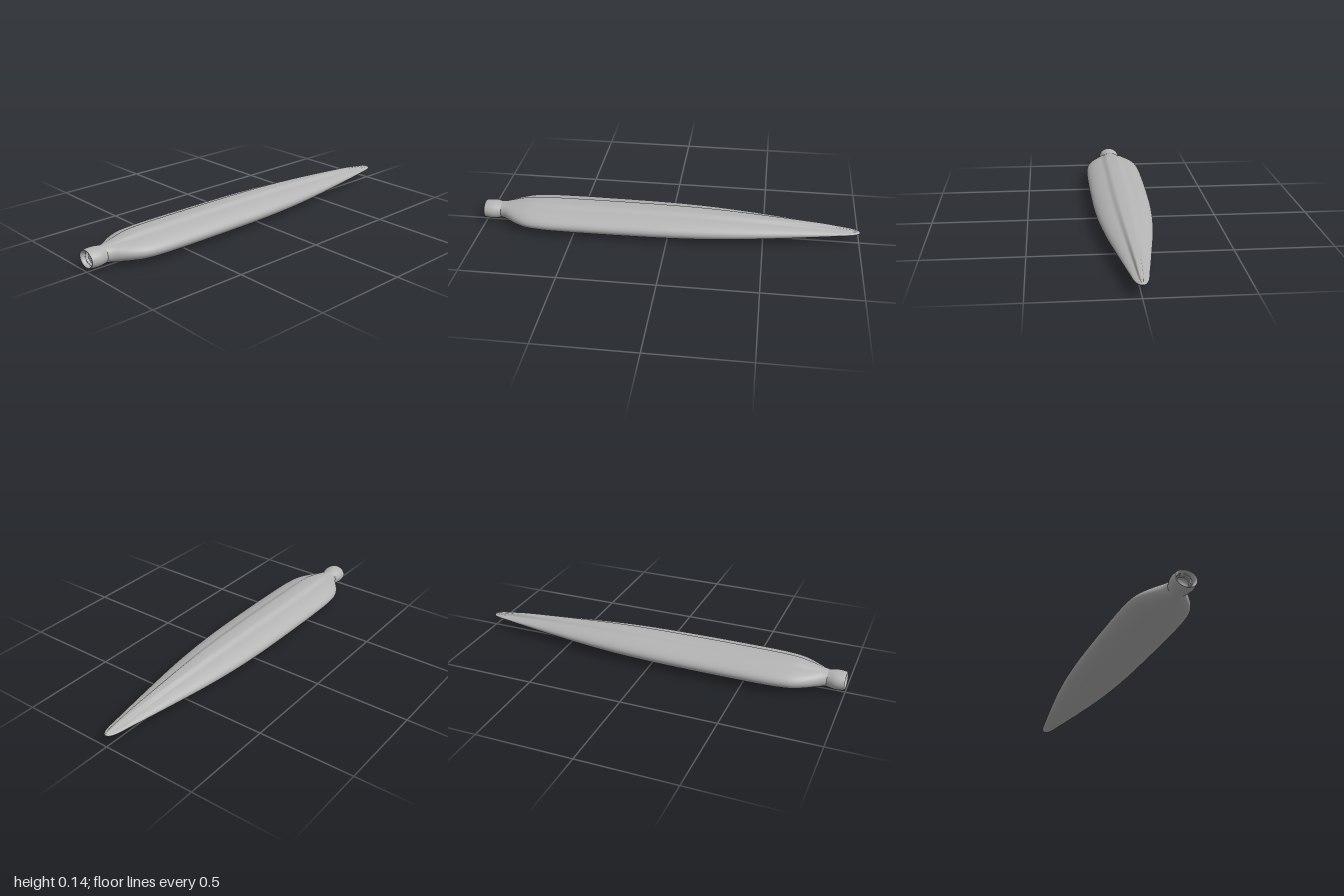
import * as THREE from 'three';

const CY = 0.066; // height of the long axis

// [z, half width, half height, height of the ridge along the top], tip to neck
const BODY = [
  [-1, 0, 0, 0], [-0.994, 0.014, 0.006, 0.002], [-0.975, 0.026, 0.009, 0.006], [-0.94, 0.036, 0.012, 0.009],
  [-0.88, 0.045, 0.016, 0.012], [-0.8, 0.058, 0.023, 0.014], [-0.6, 0.089, 0.038, 0.0125],
  [-0.4, 0.118, 0.05, 0.012], [-0.2, 0.139, 0.059, 0.0115], [0, 0.151, 0.063, 0.011],
  [0.2, 0.156, 0.064, 0.011], [0.4, 0.158, 0.064, 0.011], [0.6, 0.157, 0.063, 0.011],
  [0.7, 0.151, 0.061, 0.011], [0.76, 0.139, 0.058, 0.0105], [0.81, 0.115, 0.053, 0.008],
  [0.85, 0.087, 0.049, 0.005], [0.885, 0.06, 0.045, 0.002], [0.91, 0.047, 0.043, 0],
];

// rounded collar that turns in at the front to a stepped socket with a dished floor
const COLLAR = [
  [0.91, 0.047, 0.043, 0], [0.925, 0.052, 0.0455, 0], [0.945, 0.058, 0.0475, 0], [0.965, 0.0595, 0.0478, 0],
  [0.985, 0.057, 0.0465, 0], [0.998, 0.0545, 0.0445, 0], [1, 0.051, 0.042, 0], [0.997, 0.046, 0.0395, 0],
  [0.988, 0.042, 0.0375, 0], [0.975, 0.039, 0.0355, 0], [0.965, 0.038, 0.0345, 0], [0.962, 0.032, 0.029, 0],
  [0.952, 0.029, 0.027, 0], [0.945, 0.022, 0.02, 0], [0.941, 0.011, 0.01, 0], [0.94, 0, 0, 0],
];

// smooth interpolation between the listed stations
function refine(stations, steps) {
  const out = [];
  const at = i => stations[Math.min(Math.max(i, 0), stations.length - 1)];
  for (let i = 0; i < stations.length - 1; i++) {
    for (let k = 0; k < steps; k++) {
      const t = k / steps;
      out.push(at(i).map((p1, c) => {
        const p0 = at(i - 1)[c], p2 = at(i + 1)[c], p3 = at(i + 2)[c];
        const v = p1 + 0.5 * t * (p2 - p0 + t * (2 * p0 - 5 * p1 + 4 * p2 - p3 + t * (3 * (p1 - p2) + p3 - p0)));
        return c === 0 ? v : Math.max(v, 0);
      }));
    }
  }
  out.push(at(stations.length - 1));
  return out;
}

// skin over oval sections, with a flat-topped ridge on the upper side
function loft(stations, sides) {
  const pos = [], index = [];
  for (const [z, rx, ry, ridge] of stations) {
    for (let j = 0; j < sides; j++) {
      const a = j / sides * Math.PI * 2;
      const c = Math.cos(a), s = Math.sin(a);
      const lift = s > 0 ? 1 - THREE.MathUtils.smoothstep(Math.abs(c), 0.2, 0.4) : 0;
      pos.push(rx * c, CY + ry * s + ridge * lift, z);
    }
  }
  for (let i = 0; i < stations.length - 1; i++) {
    for (let j = 0; j < sides; j++) {
      const a = i * sides + j, b = i * sides + (j + 1) % sides;
      index.push(a, b, a + sides, b, b + sides, a + sides);
    }
  }
  const geo = new THREE.BufferGeometry();
  geo.setAttribute('position', new THREE.Float32BufferAttribute(pos, 3));
  geo.setIndex(index);
  geo.computeVertexNormals();
  return geo;
}

export function createModel() {
  const model = new THREE.Group();
  model.name = 'blade';
  const grey = new THREE.MeshStandardMaterial({ color: 0xb4b4b4 });
  grey.name = 'grey';

  function add(name, geo, parent = model) {
    const mesh = new THREE.Mesh(geo, grey);
    mesh.name = name;
    parent.add(mesh);
    return mesh;
  }

  add('body', loft(refine(BODY, 4), 120));
  add('collar', loft(refine(COLLAR, 3), 72));

  // raised rings inside the socket
  for (const [r, z] of [[0.0395, 0.978], [0.0305, 0.96]]) {
    const ring = add('socketRing', new THREE.TorusGeometry(r, 0.0018, 8, 64));
    ring.position.set(0, CY, z);
    ring.scale.y = 0.91;
  }

  // two staggered rows of small studs around the socket
  const studs = new THREE.Group();
  studs.name = 'socketStuds';
  model.add(studs);
  const studGeo = new THREE.SphereGeometry(0.0018, 8, 6);
  const count = 28;
  for (let row = 0; row < 2; row++) {
    for (let i = 0; i < count; i++) {
      const a = (i + row / 2) / count * Math.PI * 2;
      const r = row ? 0.0365 : 0.0325;
      add('stud', studGeo, studs).position.set(r * Math.cos(a), CY + 0.91 * r * Math.sin(a), 0.9645);
    }
  }
  return model;
}
